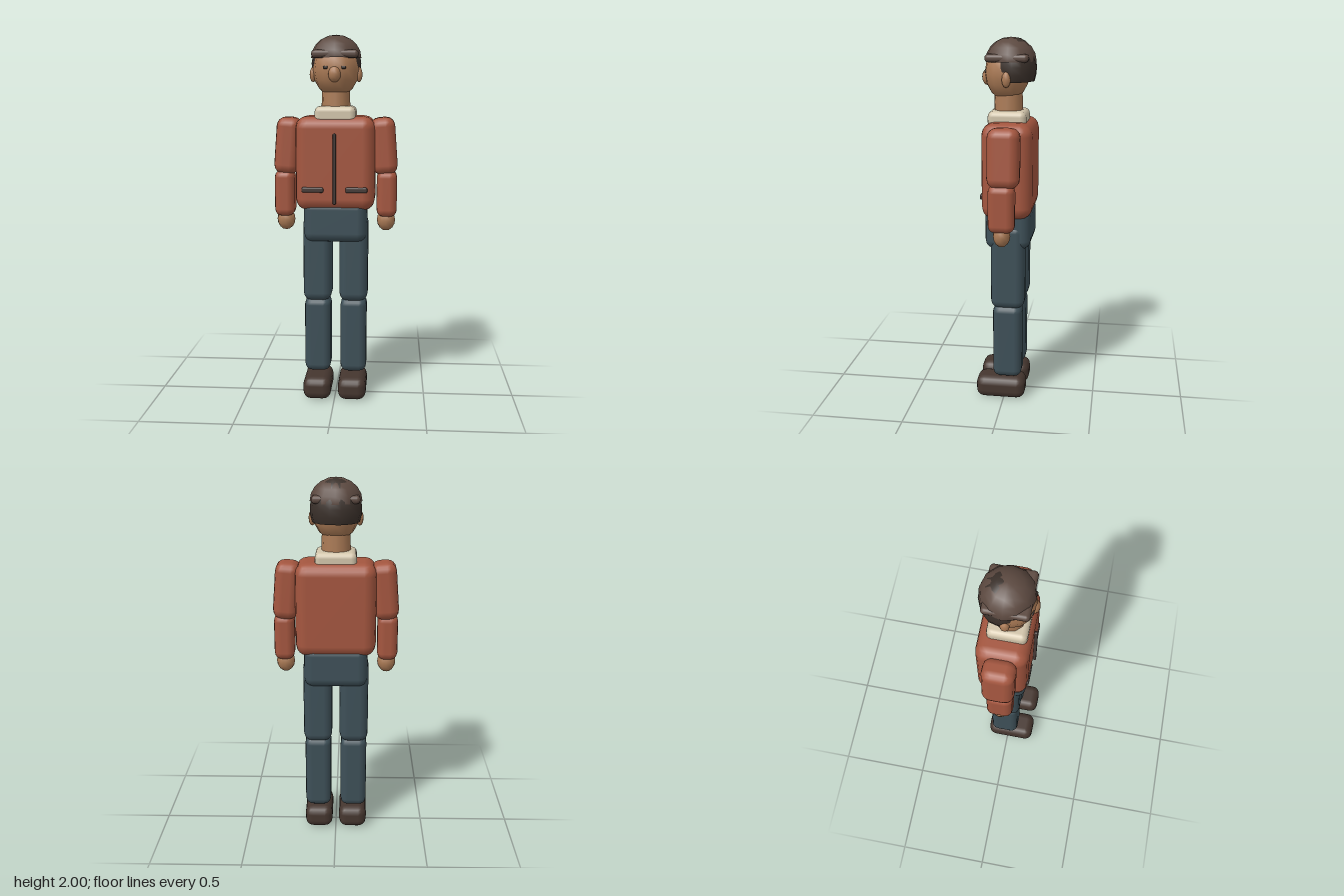
import * as THREE from 'three';
import { RoundedBoxGeometry } from 'three/addons/geometries/RoundedBoxGeometry.js';

const paint = (name, color) => {
  const m = new THREE.MeshStandardMaterial({ color });
  m.name = name;
  return m;
};

export function createModel() {
  const model = new THREE.Group();
  model.name = 'standingMan';

  const jacket = paint('rust jacket', 0xa4563f);
  const trousers = paint('slate trousers', 0x3e5058);
  const leather = paint('brown shoe leather', 0x45362f);
  const wool = paint('brown cap wool', 0x5c4940);
  const hairColor = paint('dark hair', 0x3b312b);
  const skin = paint('skin', 0xaa7a55);
  const cream = paint('cream collar', 0xd2c5ab);
  const trim = paint('dark trim', 0x453a36);
  wool.side = hairColor.side = THREE.DoubleSide;

  const add = (name, geometry, material, x, y, z, parent = model) => {
    const mesh = new THREE.Mesh(geometry, material);
    mesh.name = name;
    mesh.position.set(x, y, z);
    parent.add(mesh);
    return mesh;
  };
  // Soft-edged block
  const block = (name, material, [w, h, d], radius, [x, y, z], parent) =>
    add(name, new RoundedBoxGeometry(w, h, d, 2, radius), material, x, y, z, parent);
  // Ellipsoid, or the upper part of one when sweep is below PI
  const ball = (name, material, [rx, ry, rz], [x, y, z], parent, sweep = Math.PI, sides = 12, rings = 8) =>
    add(name, new THREE.SphereGeometry(1, sides, rings, 0, Math.PI * 2, 0, sweep).scale(rx, ry, rz),
      material, x, y, z, parent);

  // Torso and hips
  block('jacketBody', jacket, [0.43, 0.51, 0.27], 0.065, [0, 1.315, -0.02]);
  block('hips', trousers, [0.345, 0.23, 0.245], 0.05, [0, 1.0, -0.022]);
  block('collar', cream, [0.22, 0.09, 0.205], 0.03, [0, 1.578, -0.01]);

  // Jacket front details
  block('zipper', trim, [0.016, 0.38, 0.03], 0.006, [0, 1.29, 0.117]);
  for (const side of [-1, 1])
    block('pocketTrim', trim, [0.118, 0.03, 0.02], 0.009, [side * 0.118, 1.178, 0.112]);

  // Limbs, mirrored
  for (const side of [-1, 1]) {
    const arm = new THREE.Group();
    arm.name = side > 0 ? 'leftArm' : 'rightArm';
    model.add(arm);
    const upper = block('upperArm', jacket, [0.135, 0.31, 0.17], 0.05, [side * 0.262, 1.408, -0.018], arm);
    upper.rotation.z = side * 0.075;
    block('forearm', jacket, [0.11, 0.255, 0.14], 0.04, [side * 0.28, 1.148, -0.01], arm);
    ball('hand', skin, [0.05, 0.06, 0.046], [side * 0.277, 1.0, -0.01], arm);

    const leg = new THREE.Group();
    leg.name = side > 0 ? 'leftLeg' : 'rightLeg';
    model.add(leg);
    block('thigh', trousers, [0.157, 0.48, 0.185], 0.045, [side * 0.1, 0.786, -0.022], leg);
    block('shin', trousers, [0.145, 0.425, 0.16], 0.04, [side * 0.1, 0.347, -0.02], leg);
    block('shoe', leather, [0.156, 0.125, 0.275], 0.045, [side * 0.097, 0.0625, 0.018], leg);
  }

  // Head
  const head = new THREE.Group();
  head.name = 'head';
  model.add(head);
  add('neck', new THREE.CylinderGeometry(0.074, 0.08, 0.14, 12), skin, 0, 1.65, -0.008, head);
  ball('face', skin, [0.125, 0.145, 0.12], [0, 1.815, 0], head);
  ball('nose', skin, [0.034, 0.043, 0.03], [0, 1.792, 0.104], head);
  for (const side of [-1, 1]) {
    ball('ear', skin, [0.019, 0.041, 0.024], [side * 0.124, 1.79, -0.012], head, Math.PI, 10, 6);
    block('eye', hairColor, [0.024, 0.016, 0.03], 0.005, [side * 0.048, 1.826, 0.097], head);
  }
  ball('hair', hairColor, [0.135, 0.158, 0.117], [0, 1.84, -0.04], head, Math.PI * 0.635, 14, 8);

  // Flat cap: dome over a soft square band whose corners stick out
  ball('capDome', wool, [0.136, 0.122, 0.135], [0, 1.878, -0.02], head, Math.PI / 2, 12, 5);
  block('capBand', wool, [0.25, 0.042, 0.228], 0.019, [0, 1.897, -0.011], head);

  return model;
}
